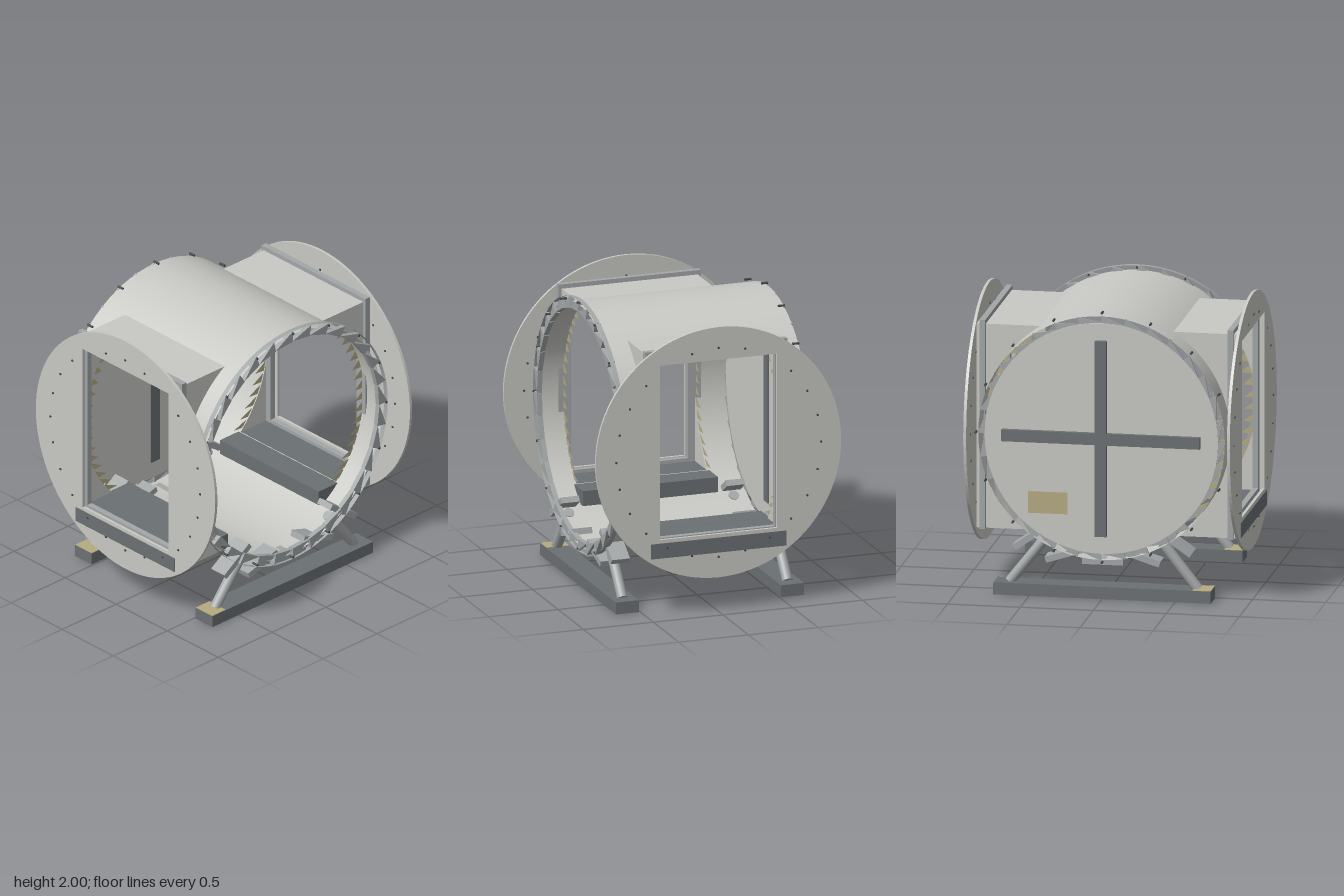
import * as THREE from 'three';

const mat = (name, color, side = THREE.FrontSide) => {
  const m = new THREE.MeshStandardMaterial({ color, side });
  m.name = name;
  return m;
};
const CY = 1.12, R = 0.845, rad = Math.PI / 180;

export function createModel() {
  const light = mat('light grey', 0xc8c8c4, THREE.DoubleSide);
  const steel = mat('steel grey', 0xa3a7a8, THREE.DoubleSide);
  const dark = mat('dark grey', 0x6b7073);
  const bolt = mat('bolt grey', 0x45494c);
  const tan = mat('tan', 0xb5ab80, THREE.DoubleSide);

  const model = new THREE.Group();
  model.name = 'chamber';
  const add = (name, geo, material, x = 0, y = 0, z = 0, parent = model) => {
    const m = new THREE.Mesh(geo, material);
    m.name = name;
    m.position.set(x, y, z);
    parent.add(m);
    return m;
  };
  // box given by its limits
  const box = (name, material, x0, x1, y0, y1, z0, z1, parent) =>
    add(name, new THREE.BoxGeometry(x1 - x0, y1 - y0, z1 - z0), material,
      (x0 + x1) / 2, (y0 + y1) / 2, (z0 + z1) / 2, parent);
  const extrude = (shape, depth, curveSegments = 32) =>
    new THREE.ExtrudeGeometry(shape, { depth, bevelEnabled: false, curveSegments });
  const rectPath = (x0, x1, y0, y1, Type = THREE.Shape) => {
    const p = new Type();
    p.moveTo(x0, y0); p.lineTo(x1, y0); p.lineTo(x1, y1); p.lineTo(x0, y1); p.closePath();
    return p;
  };
  const poly = pts => new THREE.Shape(pts.map(p => new THREE.Vector2(p[0], p[1])));

  // Barrel shell: angle 0 is the bottom, 90 is +x; the middle leaves two side openings
  const arc = (name, r, a0, a1, z0, z1, material) => {
    const segs = Math.ceil((a1 - a0) / 5);
    const g = new THREE.CylinderGeometry(r, r, z1 - z0, segs, 1, true, a0 * rad, (a1 - a0) * rad);
    g.rotateX(Math.PI / 2);
    add(name, g, material, 0, CY, (z0 + z1) / 2);
  };
  arc('shellFront', R, 0, 360, 0.475, 0.66, light);
  arc('shellBack', R, 0, 360, -0.69, -0.475, light);
  arc('shellBottom', R, -45, 45, -0.475, 0.475, light);
  arc('shellTop', R, 140, 220, -0.475, 0.475, light);
  arc('frontRim', 0.88, 0, 360, 0.64, 0.675, steel);

  // Saw-toothed rings at both ends
  const sawRing = (name, rIn, rOut, z, depth) => {
    const g = new THREE.Group();
    g.name = name;
    const n = 32, step = 2 * Math.PI / n;
    const at = (r, a) => [r * Math.sin(a), r * Math.cos(a)];
    for (let i = 0; i < n; i++) {
      const a = i * step, b = a + step;
      add('ringTooth', extrude(poly([at(rIn + 0.005, a), at(rIn, b), at(rOut, b)]), depth),
        steel, 0, CY, z, g);
    }
    model.add(g);
  };
  sawRing('frontRing', 0.8, 0.88, 0.64, 0.035);
  sawRing('backRing', 0.795, 0.85, -0.695, 0.012);

  // Pins around both ends
  const pinGeo = new THREE.CylinderGeometry(0.008, 0.008, 0.048, 8).rotateX(Math.PI / 2);
  for (const z of [0.658, -0.664])
    for (let i = 0; i < 16; i++) {
      const a = i * Math.PI / 8;
      add('pin', pinGeo, bolt, 0.865 * Math.sin(a), CY + 0.865 * Math.cos(a), z);
    }

  // Back door with cross brace and plate
  add('backDoor', new THREE.CylinderGeometry(0.8, 0.8, 0.02, 64).rotateX(Math.PI / 2), light, 0, CY, -0.69);
  box('braceUpright', dark, -0.04, 0.04, 0.445, 1.8, -0.735, -0.672);
  box('braceCrossbar', dark, -0.68, 0.68, CY - 0.04, CY + 0.04, -0.734, -0.695);
  box('doorPlateOutside', tan, 0.23, 0.5, 0.585, 0.735, -0.705, -0.699);
  box('doorPlateInside', tan, 0.23, 0.5, 0.585, 0.735, -0.681, -0.677);

  // Side ports
  for (const s of [1, -1]) {
    const port = new THREE.Group();
    port.name = s > 0 ? 'leftPort' : 'rightPort';
    model.add(port);
    const span = (a, b) => s > 0 ? [a, b] : [-b, -a];

    // round flange with a rectangular opening, turned to face sideways
    const disc = new THREE.Shape().absarc(0, CY, 0.88, 0, Math.PI * 2);
    disc.holes.push(rectPath(-0.42, 0.42, 0.545, 1.77, THREE.Path));
    add('portFlange', extrude(disc, 0.02, 48).rotateY(Math.PI / 2), light, s > 0 ? 0.893 : -0.913, 0, 0, port);

    const frame = rectPath(-0.51, 0.51, 0.41, 1.86);
    frame.holes.push(rectPath(-0.42, 0.42, 0.545, 1.77, THREE.Path));
    add('portFrame', extrude(frame, 0.04).rotateY(Math.PI / 2), steel, s > 0 ? 0.83 : -0.87, 0, 0, port);

    box('portRoof', light, ...span(0.42, 0.895), 1.775, 1.83, -0.488, 0.488, port);
    box('portFloor', dark, ...span(0.42, 0.917), 0.415, 0.52, -0.485, 0.485, port);

    // side walls trimmed to the barrel
    const wall = new THREE.Shape();
    const lo = Math.asin((0.415 - CY) / R), hi = Math.asin((1.83 - CY) / R);
    wall.moveTo(0.895, 1.83);
    for (let i = 0; i <= 24; i++) {
      const e = hi + (lo - hi) * i / 24;
      wall.lineTo(R * Math.cos(e), CY + R * Math.sin(e));
    }
    wall.lineTo(0.895, 0.415);
    wall.closePath();
    if (s < 0) wall.curves.forEach(c => { c.v1 = new THREE.Vector2(-c.v1.x, c.v1.y); c.v2 = new THREE.Vector2(-c.v2.x, c.v2.y); });
    for (const z of [0.468, -0.488]) add('portWall', extrude(wall, 0.02), light, 0, 0, z, port);

    // ragged teeth along the opening
    for (let i = 0; i < 16; i++) {
      const e0 = (-43 + i * 5.7) * rad, e1 = e0 + 4.6 * rad;
      const p = e => [s * R * Math.cos(e), CY + R * Math.sin(e)];
      const a = p(e0), b = p(e1);
      const tooth = new THREE.ShapeGeometry(poly([a, b, [a[0] - s * 0.08, a[1] + 0.005]]));
      for (const z of [0.475, -0.475]) add('openingTooth', tooth, tan, 0, 0, z, port);
    }

    // flange bolts, skipping the two that would fall in the opening
    const boltGeo = new THREE.CylinderGeometry(0.008, 0.008, 0.03, 8).rotateZ(Math.PI / 2);
    for (let i = 0; i < 24; i++) {
      if (i === 2 || i === 22) continue;
      const a = i * Math.PI / 12;
      add('flangeBolt', boltGeo, bolt, s * 0.904, CY + 0.735 * Math.cos(a), 0.735 * Math.sin(a), port);
    }
  }

  // Stands: beam, slanted legs and cradle pads
  for (const z of [0.592, -0.592]) {
    const stand = new THREE.Group();
    stand.name = z > 0 ? 'frontStand' : 'backStand';
    model.add(stand);
    box('beam', dark, -0.745, 0.745, 0, 0.084, z - 0.082, z + 0.082, stand);
    box('beamPlate', tan, -0.744, -0.62, 0.083, 0.087, z - 0.08, z + 0.08, stand);
    for (const s of [1, -1]) {
      const foot = new THREE.Vector3(s * 0.645, 0.08, z), top = new THREE.Vector3(s * 0.4, 0.39, z);
      const dir = top.clone().sub(foot);
      const leg = add('leg', new THREE.CylinderGeometry(0.036, 0.036, dir.length(), 20), steel, 0, 0, 0, stand);
      leg.position.copy(foot).add(top).multiplyScalar(0.5);
      leg.quaternion.setFromUnitVectors(new THREE.Vector3(0, 1, 0), dir.normalize());
    }
    for (let i = -2; i <= 2; i++) {
      const a = i * 0.3;
      const pad = add('cradlePad', new THREE.BoxGeometry(0.28, 0.042, 0.13), steel,
        0.87 * Math.sin(a), CY - 0.865 * Math.cos(a), z, stand);
      pad.rotation.z = -a;
    }
  }
  return model;
}
